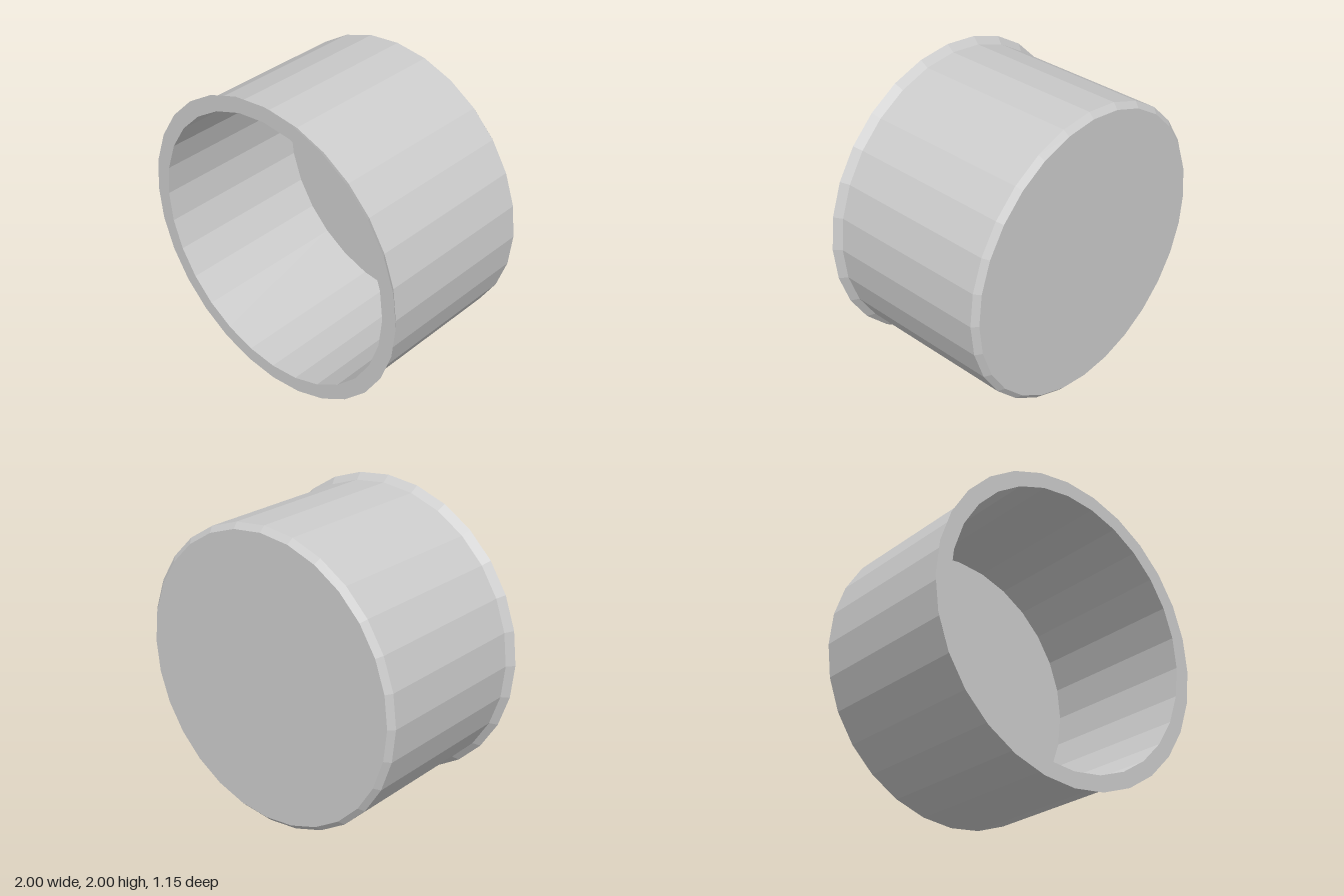
import * as THREE from 'three';

export function createModel() {
  const group = new THREE.Group();
  group.name = 'cup';
  const material = new THREE.MeshStandardMaterial({ color: 0xcccccc, flatShading: true });

  // [radius, position along the axis], from the closed back round the rim to the inner floor
  const profile = [
    [0, -0.577],
    [0.925, -0.577], // chamfered back edge
    [0.96, -0.543],
    [0.96, 0.532], // outer wall
    [1, 0.577], // flared lip
    [0.9, 0.577],
    [0.9, -0.51], // inner wall
    [0, -0.51],
  ].map(([r, a]) => new THREE.Vector2(r, a));

  const shell = new THREE.Mesh(new THREE.LatheGeometry(profile, 28), material);
  shell.name = 'cupShell';
  shell.rotation.x = Math.PI / 2; // opening faces the front
  shell.position.y = 1;
  group.add(shell);
  return group;
}
